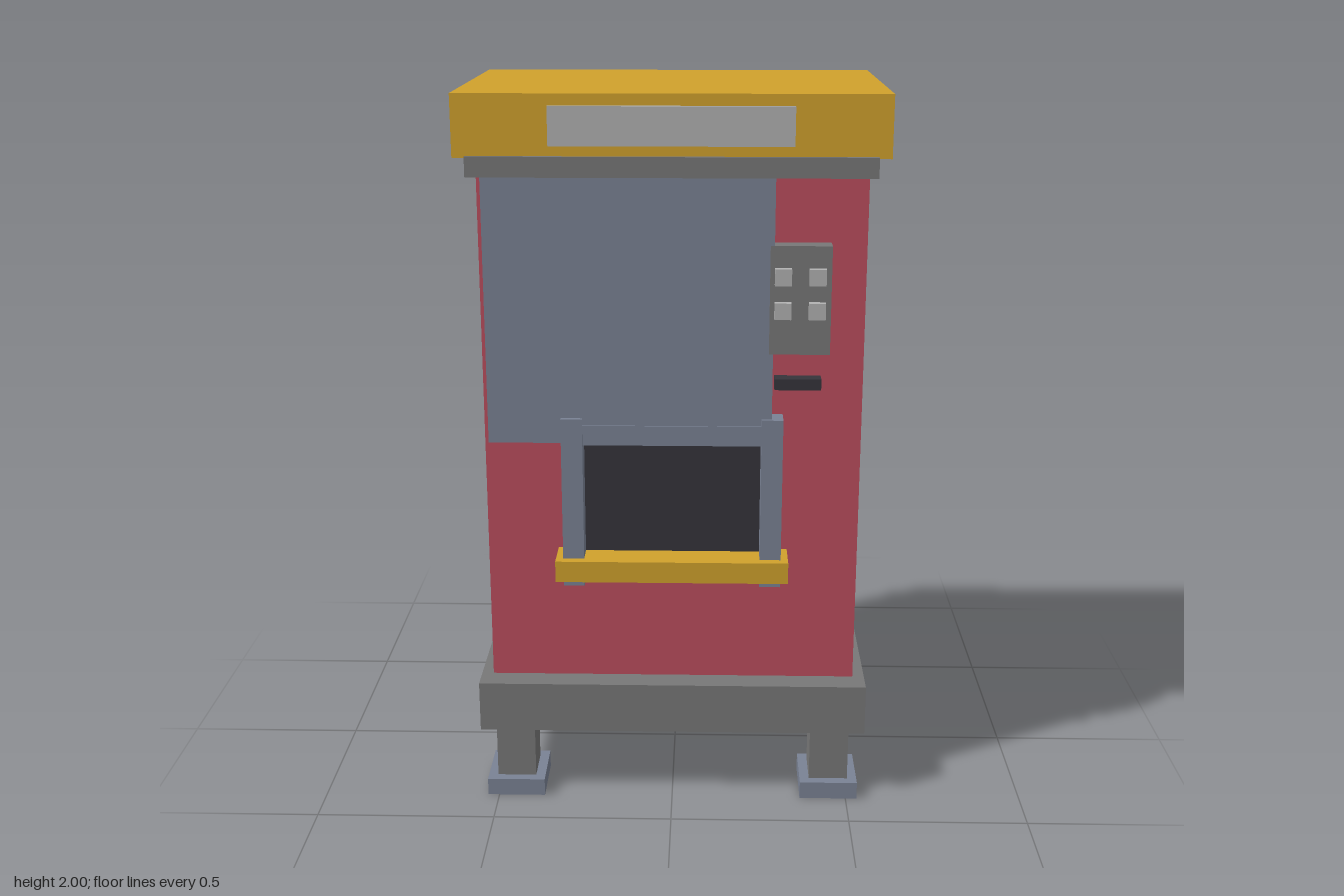
import * as THREE from 'three';

const mat = (color) => new THREE.MeshStandardMaterial({ color });

export function createModel() {
  const model = new THREE.Group();
  const red = mat(0xbb4e5e), gold = mat(0xd0a12c), iron = mat(0x777777), steel = mat(0x7a8294),
    dark = mat(0x35343b), light = mat(0xb2b2b2), teal = mat(0x3b5a64);

  // Box given by its [min, max] range on each axis
  function box(name, material, [x0, x1], [y0, y1], [z0, z1]) {
    const mesh = new THREE.Mesh(new THREE.BoxGeometry(x1 - x0, y1 - y0, z1 - z0), material);
    mesh.position.set((x0 + x1) / 2, (y0 + y1) / 2, (z0 + z1) / 2);
    mesh.name = name;
    model.add(mesh);
    return mesh;
  }

  // Cabinet, plinth and roof
  box('cabinet', red, [-0.515, 0.515], [0.35, 1.79], [-0.386, 0.30]);
  box('plinth', iron, [-0.548, 0.548], [0.205, 0.35], [-0.413, 0.37]);
  box('roofTrim', iron, [-0.527, 0.527], [1.79, 1.843], [-0.392, 0.415]);
  box('roof', gold, [-0.56, 0.56], [1.838, 2], [-0.357, 0.403]);
  box('signPlate', light, [-0.313, 0.313], [1.87, 1.97], [0.40, 0.419]);

  // Legs with foot pads
  for (const x of [-0.45, 0.45]) {
    for (const z of [0.291, -0.334]) {
      box('leg', iron, [x - 0.055, x + 0.055], [0.05, 0.205], [z - 0.058, z + 0.058]);
      box('footPad', steel, [x - 0.082, x + 0.082], [0, 0.05], [z - 0.085, z + 0.085]);
    }
  }

  // Front panel on its backing
  box('panelBacking', teal, [-0.46, 0.24], [1.115, 1.77], [0.30, 0.333]);
  box('frontPanel', steel, [-0.495, 0.268], [1.07, 1.79], [0.333, 0.375]);

  // Delivery hatch: opening, posts, lintel and sill
  box('hatchOpening', dark, [-0.25, 0.25], [0.72, 1.07], [0.30, 0.322]);
  for (const s of [-1, 1]) {
    box('hatchPost', steel, [s * 0.27 - 0.029, s * 0.27 + 0.029], [0.66, 1.14], [0.323, 0.386]);
  }
  box('hatchLintel', steel, [-0.241, 0.241], [1.065, 1.12], [0.323, 0.379]);
  box('hatchSill', gold, [-0.319, 0.319], [0.68, 0.74], [0.30, 0.411]);

  // Control box with four buttons, slot below
  box('controlBox', iron, [0.257, 0.418], [1.32, 1.61], [0.325, 0.377]);
  for (const x of [0.291, 0.381]) {
    for (const y of [1.44, 1.53]) {
      box('button', light, [x - 0.022, x + 0.022], [y - 0.022, y + 0.022], [0.375, 0.397]);
    }
  }
  box('coinSlot', dark, [0.273, 0.397], [1.225, 1.255], [0.345, 0.387]);

  return model;
}
